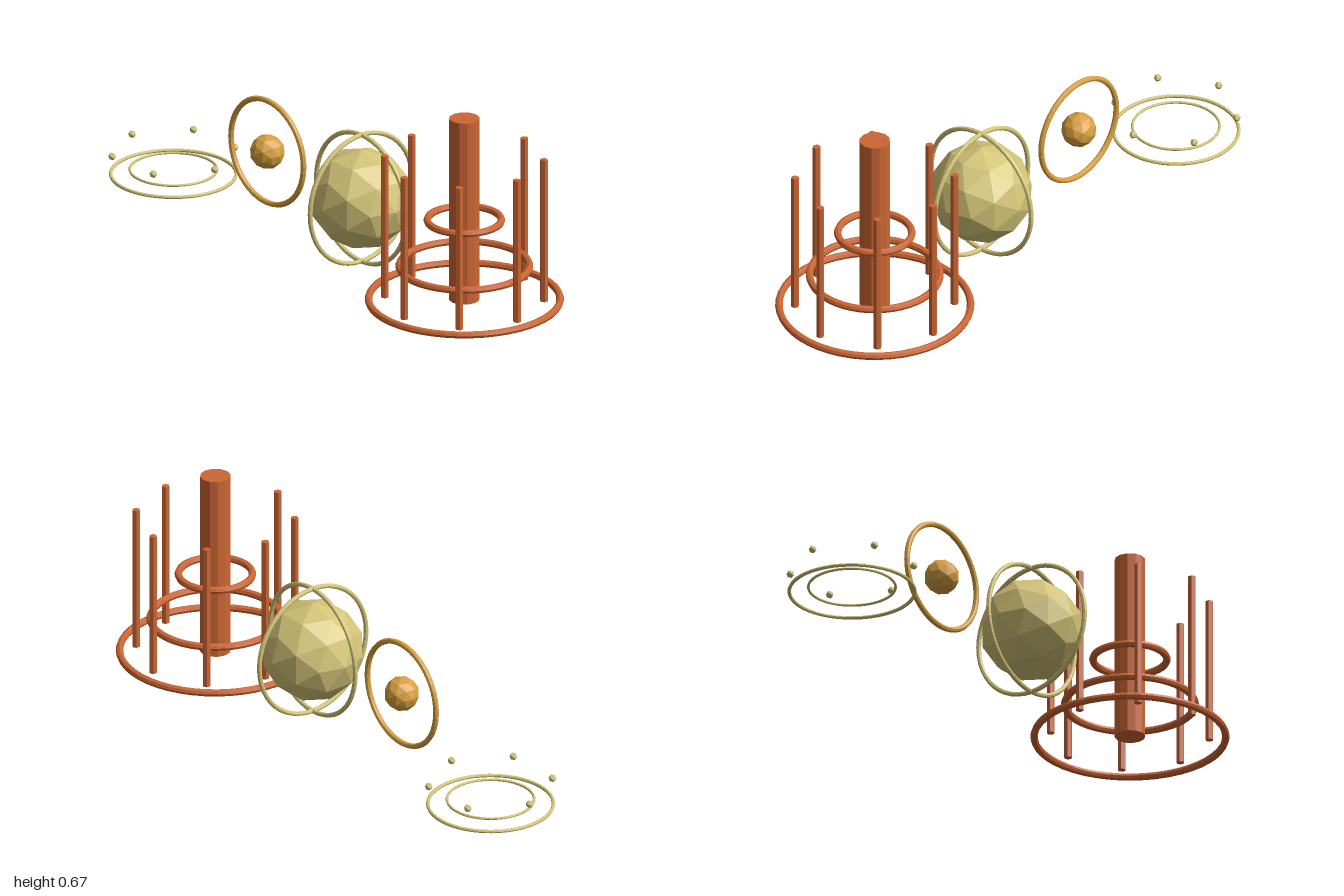
import * as THREE from 'three';

const flat = (name, color) => {
  const m = new THREE.MeshStandardMaterial({ color, flatShading: true });
  m.name = name;
  return m;
};

export function createModel() {
  const rust = flat('rust', 0xcc6633);
  const sand = flat('sand', 0xd4c478);
  const amber = flat('amber', 0xd9a040);

  const model = new THREE.Group();
  model.name = 'ringSculptures';

  const group = (name, x, y = 0) => {
    const g = new THREE.Group();
    g.name = name;
    g.position.set(x, y, 0);
    model.add(g);
    return g;
  };
  const add = (parent, name, geometry, material, x = 0, y = 0, z = 0) => {
    const mesh = new THREE.Mesh(geometry, material);
    mesh.name = name;
    mesh.position.set(x, y, z);
    parent.add(mesh);
    return mesh;
  };
  const ring = (radius, tube) => new THREE.TorusGeometry(radius, tube, 8, 48);
  const flatRing = (radius, tube) => ring(radius, tube).rotateX(Math.PI / 2);
  const post = (radius, bottom, top, sides) =>
    new THREE.CylinderGeometry(radius, radius, top - bottom, sides).translate(0, (top + bottom) / 2, 0);

  // Tower: central column, three stacked rings and a circle of rods
  const tower = group('tower', 0.669);
  add(tower, 'column', post(0.051, 0.032, 0.675, 12), rust);
  [[0.316, 0.032], [0.215, 0.15], [0.122, 0.313]].forEach(([r, y], i) =>
    add(tower, `towerRing${i + 1}`, flatRing(r, 0.0125), rust, 0, y));
  const rod = post(0.0133, 0.032, 0.535, 6);
  for (let i = 0; i < 8; i++) {
    const a = (i / 8) * Math.PI * 2;
    add(tower, 'rod', rod, rust, Math.cos(a) * 0.263, 0, Math.sin(a) * 0.263);
  }

  // Large faceted ball inside two crossed upright rings
  const globe = group('globe', 0.155, 0.234);
  add(globe, 'globeBall', new THREE.IcosahedronGeometry(0.172, 1), sand);
  add(globe, 'frontRing', ring(0.225, 0.008), sand);
  add(globe, 'sideRing', ring(0.225, 0.008).rotateY(Math.PI / 2), sand);

  // Small ball inside one upright ring
  const hoop = group('hoop', -0.315, 0.256);
  add(hoop, 'hoopBall', new THREE.IcosahedronGeometry(0.059, 1), amber);
  add(hoop, 'hoopRing', ring(0.181, 0.0095), amber);

  // Two low rings with six floating beads
  const halo = group('halo', -0.784);
  add(halo, 'outerRing', flatRing(0.207, 0.006), sand, 0, 0.034);
  add(halo, 'innerRing', flatRing(0.144, 0.0045), sand, 0, 0.05);
  const bead = new THREE.IcosahedronGeometry(0.0135, 0);
  for (let i = 0; i < 6; i++) {
    const a = (i / 6) * Math.PI * 2;
    add(halo, 'bead', bead, sand, Math.cos(a) * 0.206, 0.112, Math.sin(a) * 0.206);
  }

  return model;
}
